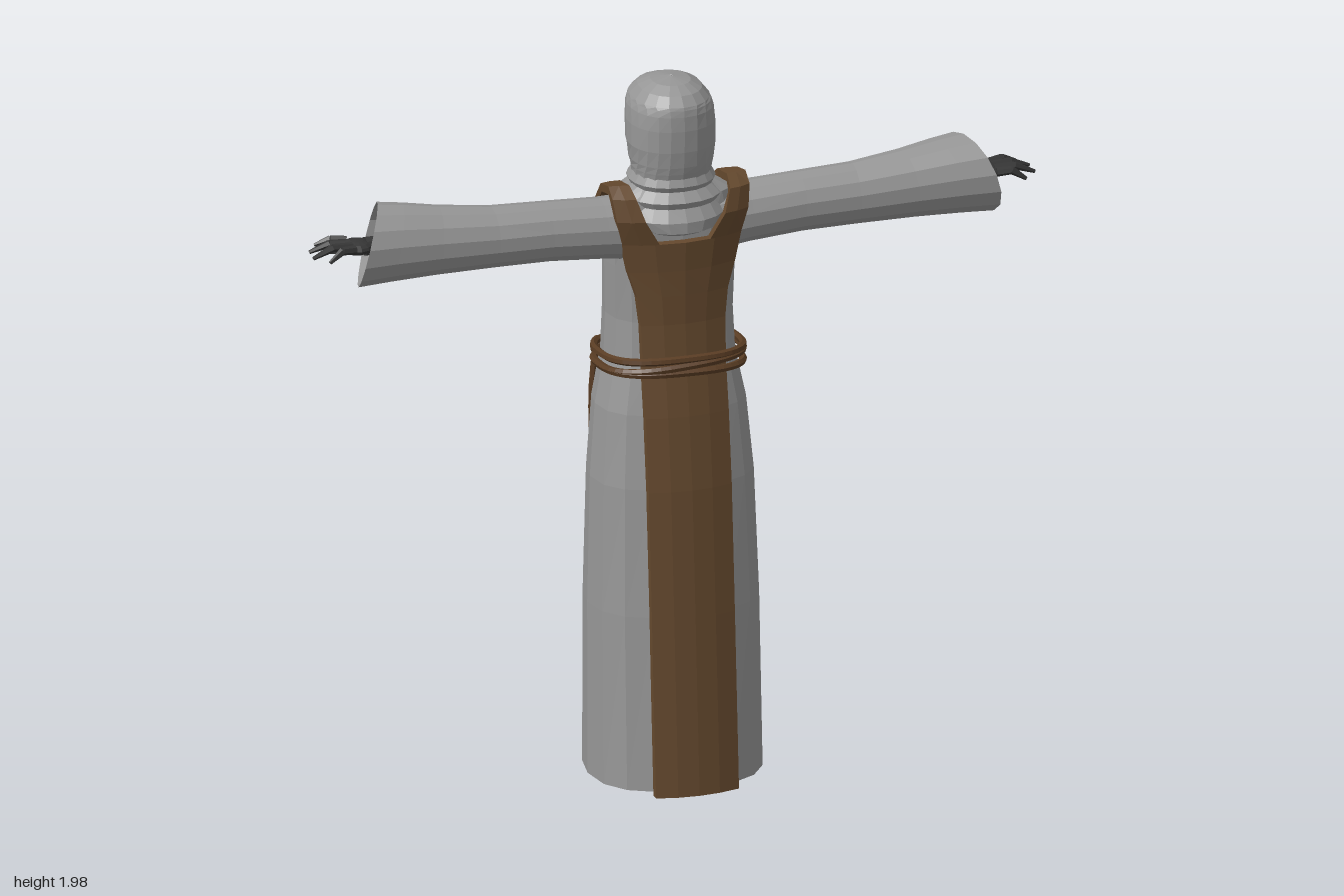
import * as THREE from 'three';

const V = (x, y, z) => new THREE.Vector3(x, y, z);
const material = (name, color, side = THREE.DoubleSide) => {
  const m = new THREE.MeshStandardMaterial({ color, side });
  m.name = name;
  return m;
};

// Faceted mesh with one normal per face
function mesh(name, geometry, mat) {
  const g = geometry.index ? geometry.toNonIndexed() : geometry;
  g.computeVertexNormals();
  const m = new THREE.Mesh(g, mat);
  m.name = name;
  return m;
}

// Skin over equal-length cross-sections
function loft(rings, closed = true, caps = false) {
  const n = rings[0].length, index = [];
  for (let r = 0; r < rings.length - 1; r++) {
    for (let i = 0; i < (closed ? n : n - 1); i++) {
      const a = r * n + i, b = r * n + (i + 1) % n;
      index.push(a, b, a + n, b, b + n, a + n);
    }
  }
  if (caps) {
    const last = (rings.length - 1) * n;
    for (let i = 1; i < n - 1; i++) index.push(0, i + 1, i, last, last + i, last + i + 1);
  }
  const g = new THREE.BufferGeometry().setFromPoints(rings.flat());
  g.setIndex(index);
  return g;
}

// Horizontal rounded cross-section; angle 0 faces -z, gap leaves the front open
function section(y, hw, zBack, zFront, power = 2, n = 16, gap = 0) {
  const c = (zBack + zFront) / 2, d = (zBack - zFront) / 2, out = [];
  const curve = v => Math.sign(v) * Math.abs(v) ** (2 / power);
  const count = gap === null ? n : n + 1;
  for (let i = 0; i < count; i++) {
    const a = (gap || 0) + (i / n) * (2 * Math.PI - 2 * (gap || 0));
    out.push(V(hw * curve(Math.sin(a)), y, c - d * curve(Math.cos(a))));
  }
  return out;
}

// Thick cloth strip: rows of outer points, pushed inward against each row's normal
const slab = (rows, t) => loft(rows.map(({ pts, n }) =>
  [...pts, ...pts.map(p => p.clone().addScaledVector(n, -t)).reverse()]), true, true);

// Tapered round bar between two points
function bar(a, b, r1, r2, sides = 6) {
  const d = b.clone().sub(a);
  const g = new THREE.CylinderGeometry(r2, r1, d.length(), sides);
  g.applyQuaternion(new THREE.Quaternion().setFromUnitVectors(V(0, 1, 0), d.normalize()));
  return g.translate(...a.clone().add(b).multiplyScalar(0.5).toArray());
}

const ball = (x, y, z, rx, ry, rz) =>
  new THREE.SphereGeometry(1, 12, 8).scale(rx, ry, rz).translate(x, y, z);

export function createModel() {
  const root = new THREE.Group();
  root.name = 'robedFigure';
  const grey = material('grey cloth', 0x969696);
  const brown = material('brown cloth', 0x65492e);
  const rope = material('brown rope', 0x5a3d24);
  const dark = material('dark skin and shoes', 0x363636, THREE.FrontSide);
  const add = (name, g, mat, parent = root) => parent.add(mesh(name, g, mat));

  // Long robe, open at the hem
  add('robe', loft([
    [0.02, 0.235, 0.205, -0.2], [0.5, 0.232, 0.175, -0.195], [0.85, 0.222, 0.148, -0.185],
    [1.05, 0.205, 0.122, -0.18], [1.18, 0.178, 0.1, -0.175], [1.3, 0.173, 0.09, -0.17],
    [1.45, 0.178, 0.09, -0.152], [1.56, 0.178, 0.09, -0.112], [1.64, 0.16, 0.075, -0.07],
    [1.67, 0.11, 0.06, -0.055],
  ].map(r => section(...r, 2.4, 16, null))), grey);

  // Tabard panels: y, half width, outer z, drop toward the side edges
  const panel = (rows, side) => slab(rows.map(([y, hw, z, drop]) => ({
    pts: [-1, -0.5, 0, 0.5, 1].map(u => V(u * hw, y, z - side * drop * u * u)),
    n: V(0, 0, side),
  })), 0.022);
  add('facePanel', panel([
    [0.01, 0.115, -0.227, 0.018], [0.5, 0.115, -0.218, 0.018], [1.05, 0.115, -0.2, 0.018],
    [1.18, 0.115, -0.195, 0.02], [1.3, 0.117, -0.192, 0.02], [1.38, 0.126, -0.185, 0.025],
    [1.45, 0.148, -0.174, 0.03], [1.53, 0.165, -0.15, 0.035],
  ], -1), brown);
  add('rearPanel', panel([
    [0.01, 0.115, 0.23, 0.018], [0.5, 0.115, 0.196, 0.018], [0.85, 0.115, 0.17, 0.018],
    [1.05, 0.115, 0.145, 0.018], [1.18, 0.115, 0.124, 0.02], [1.3, 0.117, 0.112, 0.02],
    [1.38, 0.126, 0.112, 0.025], [1.45, 0.148, 0.112, 0.032], [1.53, 0.165, 0.115, 0.035],
  ], 1), brown);

  // Sleeve profile: x, centre y, y radius, z radius, centre z, slant of the end
  const sleeveRows = [
    [0.11, 1.55, 0.09, 0.085, 0, 0], [0.2, 1.556, 0.083, 0.08, 0.002, 0],
    [0.35, 1.565, 0.081, 0.077, 0.002, 0], [0.5, 1.568, 0.083, 0.08, 0, 0],
    [0.65, 1.575, 0.092, 0.09, -0.005, 0.3], [0.76, 1.58, 0.102, 0.102, -0.01, 0.7],
    [0.84, 1.582, 0.109, 0.11, -0.012, 1],
  ];

  for (const s of [1, -1]) {
    const side = new THREE.Group();
    side.name = s > 0 ? 'leftSide' : 'rightSide';
    root.add(side);

    // Shoulder strap of the tabard
    add('shoulderStrap', slab([
      [0.07, 0.165, 1.53, 0.109, 0.08, 0, 1], [0.11, 0.182, 1.6, 0.115, 0.09, 0.1, 1],
      [0.13, 0.19, 1.66, 0.095, 0.075, 0.6, 0.8], [0.135, 0.19, 1.685, 0.05, 0.04, 1, 0],
      [0.135, 0.19, 1.67, -0.03, -0.025, 0.9, -0.4], [0.12, 0.185, 1.61, -0.105, -0.085, 0.5, -0.85],
      [0.07, 0.165, 1.53, -0.144, -0.115, 0.1, -1],
    ].map(([xi, xo, y, zi, zo, ny, nz]) => ({
      pts: [V(s * xi, y, zi), V(s * (xi + xo) / 2, y, (zi + zo) / 2 + 0.004 * Math.sign(nz)), V(s * xo, y, zo)],
      n: V(0, ny, nz).normalize(),
    })), 0.022), brown, side);

    // Flared sleeve with a slanted open cuff
    add('sleeve', loft(sleeveRows.map(([x, cy, ry, rz, cz, k]) =>
      Array.from({ length: 14 }, (_, i) => {
        const a = (i / 14) * Math.PI * 2, u = Math.cos(a), w = Math.sin(a);
        return V(s * (x + k * (0.036 * w - 0.028 * u)), cy + ry * u, cz + rz * w);
      }))), grey, side);

    // Forearm, palm, fingers and thumb
    add('forearm', bar(V(s * 0.5, 1.57, -0.005), V(s * 0.85, 1.58, -0.008), 0.04, 0.026, 8), dark, side);
    add('palm', ball(s * 0.872, 1.582, -0.008, 0.045, 0.019, 0.046), dark, side);
    [[-0.04, -0.062, 0.972], [-0.016, -0.024, 0.998], [0.01, 0.016, 1], [0.034, 0.052, 0.965]]
      .forEach(([z0, z1, tip], i) => {
        const knuckle = V(s * 0.89, 1.59, z0), end = V(s * tip, 1.578 - 0.003 * i, z1);
        const mid = V(s * (0.89 + tip) / 2, 1.594, (z0 + z1) / 2);
        add('finger', bar(knuckle, mid, 0.0125, 0.011), dark, side);
        add('fingertip', bar(mid, end, 0.011, 0.005), dark, side);
      });
    add('thumb', bar(V(s * 0.85, 1.57, -0.035), V(s * 0.89, 1.55, -0.072), 0.016, 0.012), dark, side);
    add('thumbTip', bar(V(s * 0.89, 1.55, -0.072), V(s * 0.928, 1.543, -0.088), 0.012, 0.006), dark, side);

    // Shoe just showing below the hem
    add('sole', new THREE.CylinderGeometry(1, 1, 0.03, 14)
      .scale(0.062, 1, 0.1).translate(s * 0.105, 0.015, -0.035), dark, side);
    add('shoe', ball(s * 0.105, 0.03, -0.035, 0.06, 0.05, 0.097), dark, side);
  }

  // Hood: y, half width, back z, front z, opening angle
  const hoodRows = [
    [1.65, 0.105, 0.085, -0.1, 0], [1.7, 0.106, 0.092, -0.107, 0], [1.715, 0.108, 0.096, -0.112, 0.12],
    [1.735, 0.111, 0.1, -0.12, 0.38], [1.78, 0.117, 0.105, -0.132, 0.62],
    [1.84, 0.117, 0.107, -0.142, 0.64], [1.88, 0.113, 0.105, -0.15, 0.52],
    [1.897, 0.107, 0.102, -0.152, 0.32], [1.905, 0.103, 0.099, -0.15, 0],
    [1.93, 0.083, 0.078, -0.122, 0], [1.948, 0.052, 0.045, -0.075, 0], [1.956, 0.005, -0.005, -0.02, 0],
  ];
  const hoodRings = hoodRows.map(([y, w, b, f, gap]) => section(y, w, b, f, 2.2, 18, gap));
  add('hood', loft(hoodRings, false), grey);

  // Rolled rim around the face opening
  const opening = hoodRings.slice(1, 9);
  const rim = [...opening.map(r => r[0]), ...opening.slice(1, 7).reverse().map(r => r[18])];
  add('hoodRim', new THREE.TubeGeometry(new THREE.CatmullRomCurve3(rim, true), 40, 0.006, 5, true), grey);
  add('face', ball(0, 1.8, -0.05, 0.088, 0.112, 0.09), dark);
  add('nose', ball(0, 1.79, -0.136, 0.012, 0.022, 0.012), dark);

  // Draped cowl folds around the neck
  add('cowl', loft([
    [1.71, 0.1, 0.088, -0.1], [1.68, 0.117, 0.1, -0.122], [1.665, 0.11, 0.092, -0.116],
    [1.64, 0.136, 0.114, -0.146], [1.622, 0.126, 0.106, -0.138], [1.59, 0.146, 0.128, -0.168],
    [1.56, 0.125, 0.129, -0.168], [1.545, 0.09, 0.1, -0.14],
  ].map(r => section(...r, 2.2, 20, null))), grey);

  // Rope belt: three turns, lower toward the face side
  [[1.208, 0, 0.11], [1.188, 0.012, 0.13], [1.17, -0.004, 0.11]].forEach(([y, roll, tilt]) => {
    const pts = section(0, 0.19, 0.135, -0.198, 2.8, 24, null)
      .map(p => V(p.x, y + roll * p.x / 0.19 + tilt * (p.z - 0.13), p.z));
    add('beltTurn', new THREE.TubeGeometry(new THREE.CatmullRomCurve3(pts, true), 48, 0.0105, 6, true), rope);
  });

  // Knot and two hanging ends
  add('beltKnot', ball(-0.148, 1.15, -0.178, 0.02, 0.028, 0.02), rope);
  [[-0.14, 0.4], [-0.158, 0.46]].forEach(([x, end]) => {
    const path = new THREE.CatmullRomCurve3([
      V(-0.148, 1.15, -0.185), V(x, 1.05, -0.19), V(x, 0.75, -0.194), V(x - 0.004, end, -0.202)]);
    add('beltEnd', new THREE.TubeGeometry(path, 12, 0.009, 6), rope);
    add('beltEndKnot', ball(x - 0.004, end, -0.202, 0.011, 0.016, 0.011), rope);
  });

  return root;
}
